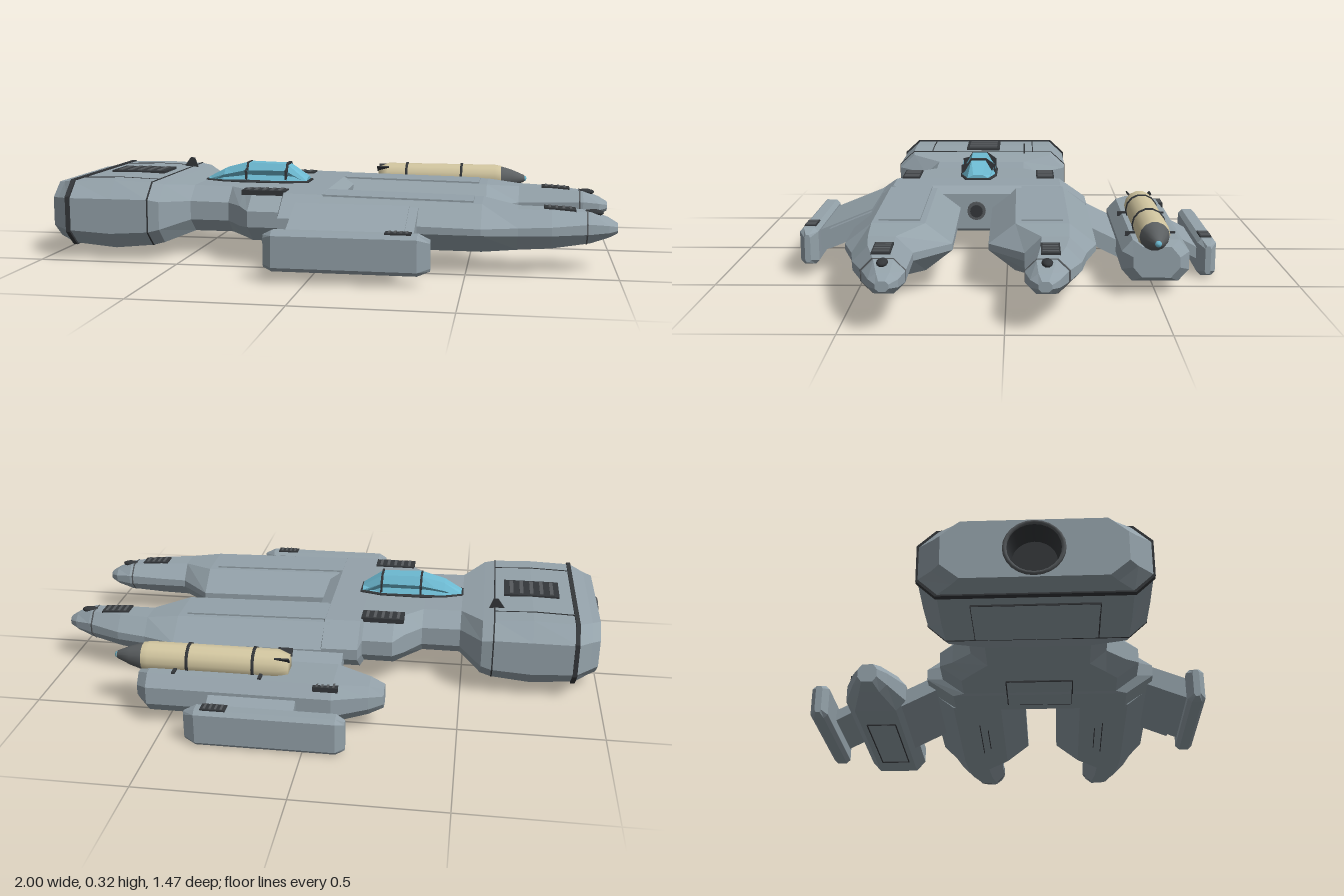
import * as THREE from 'three';

const MID = 0.12; // z of the hull's own symmetry plane

const paint = (name, color, extra = {}) => {
  const m = new THREE.MeshStandardMaterial({ color, ...extra });
  m.name = name;
  return m;
};

export function createModel() {
  const root = new THREE.Group();
  root.name = 'spacecraft';
  const hull = paint('hull grey', 0x94a2aa);
  const dark = paint('dark trim', 0x34373a, { side: THREE.DoubleSide });
  const slat = paint('vent slat', 0x565a5d);
  const glass = paint('canopy blue', 0x6dbad2);
  const tan = paint('missile tan', 0xd2c6a0);
  const steel = paint('missile nose grey', 0x5c6062);

  const add = (name, geo, mat, parent = root) => {
    const m = new THREE.Mesh(geo, mat);
    m.name = name;
    parent.add(m);
    return m;
  };
  const box = (name, x0, x1, y0, y1, z0, z1, mat, parent = root) => {
    const m = add(name, new THREE.BoxGeometry(x1 - x0, y1 - y0, z1 - z0), mat, parent);
    m.position.set((x0 + x1) / 2, (y0 + y1) / 2, (z0 + z1) / 2);
    return m;
  };

  // Chamfered section [x, z0, z1, y0, y1, cz, cy] as eight corners
  const ring = ([x, z0, z1, y0, y1, cz, cy]) => [
    [x, y1, z0 + cz], [x, y1, z1 - cz], [x, y1 - cy, z1], [x, y0 + cy, z1],
    [x, y0, z1 - cz], [x, y0, z0 + cz], [x, y0 + cy, z0], [x, y1 - cy, z0]];

  // Flat-faced loft through sections along +x
  const loft = (sections, capStart = true) => {
    const r = sections.map(ring), v = [];
    const tri = (a, b, c) => v.push(...a, ...b, ...c);
    for (let i = 0; i < r.length - 1; i++)
      for (let j = 0; j < 8; j++) {
        const k = (j + 1) % 8;
        tri(r[i][j], r[i][k], r[i + 1][k]);
        tri(r[i][j], r[i + 1][k], r[i + 1][j]);
      }
    const end = r[r.length - 1];
    for (let j = 1; j < 7; j++) {
      tri(end[0], end[j], end[j + 1]);
      if (capStart) tri(r[0][0], r[0][j + 1], r[0][j]);
    }
    const g = new THREE.BufferGeometry();
    g.setAttribute('position', new THREE.Float32BufferAttribute(v, 3));
    g.computeVertexNormals();
    return g;
  };
  const sym = (x, hw, y0, y1, cz, cy) => [x, MID - hw, MID + hw, y0, y1, cz, cy];

  // Main hull: engine block, neck and shoulders
  const rear = sym(-0.99, 0.285, 0.06, 0.26, 0.06, 0.05);
  add('mainHull', loft([
    rear,
    sym(-0.96, 0.31, 0.056, 0.264, 0.06, 0.05),
    sym(-0.91, 0.36, 0.05, 0.275, 0.06, 0.055),
    sym(-0.75, 0.36, 0.036, 0.28, 0.06, 0.06),
    sym(-0.61, 0.36, 0.05, 0.275, 0.06, 0.055),
    sym(-0.57, 0.355, 0.06, 0.268, 0.06, 0.055),
    sym(-0.49, 0.24, 0.085, 0.252, 0.06, 0.05),
    sym(-0.35, 0.24, 0.085, 0.25, 0.06, 0.05),
    sym(-0.29, 0.31, 0.08, 0.25, 0.07, 0.05),
    sym(-0.25, 0.36, 0.075, 0.25, 0.08, 0.06),
    sym(-0.14, 0.36, 0.075, 0.25, 0.08, 0.06),
    sym(-0.13, 0.42, 0.07, 0.25, 0.1, 0.07),
    sym(0, 0.42, 0.07, 0.248, 0.1, 0.07),
    sym(0.045, 0.3, 0.09, 0.225, 0.1, 0.05)], false), hull);

  // Rear wall with a round opening and the nozzle inside
  const wall = new THREE.Shape(ring(rear).map(p => new THREE.Vector2(p[2], p[1])));
  wall.holes.push(new THREE.Path().absarc(MID, 0.16, 0.088, 0, Math.PI * 2, true));
  add('rearWall', new THREE.ShapeGeometry(wall, 16).rotateY(-Math.PI / 2).translate(-0.99, 0, 0), hull);
  const along = (g, x, y, z) => g.rotateZ(-Math.PI / 2).translate(x, y, z);
  add('nozzleTube', along(new THREE.CylinderGeometry(0.06, 0.088, 0.13, 24, 1, true), -0.925, 0.16, MID), dark);
  add('nozzleBack', along(new THREE.CircleGeometry(0.062, 24).rotateX(Math.PI / 2), -0.862, 0.16, MID), slat).material = dark;
  add('nozzleRim', new THREE.TorusGeometry(0.09, 0.007, 6, 24).rotateY(Math.PI / 2).translate(-0.992, 0.16, MID), slat);

  // Dark seams round the engine block
  add('engineBand', loft([sym(-0.912, 0.365, 0.045, 0.28, 0.06, 0.055), sym(-0.896, 0.365, 0.043, 0.281, 0.06, 0.055)]), dark);
  add('engineSeam', loft([sym(-0.613, 0.3615, 0.049, 0.277, 0.06, 0.055), sym(-0.608, 0.3615, 0.049, 0.277, 0.06, 0.055)]), dark);
  for (const z of [MID - 0.22, MID + 0.22]) {
    box('engineSeam', -0.75, -0.61, 0.276, 0.279, z - 0.002, z + 0.002, dark).rotation.z = -0.036;
    box('engineSeam', -0.9, -0.75, 0.277, 0.28, z - 0.002, z + 0.002, dark).rotation.z = 0.03;
  }

  // Slatted vents
  const vent = (x0, x1, z0, z1, y, n, tilt = 0) => {
    const g = new THREE.Group(), w = x1 - x0, d = z1 - z0;
    g.name = 'vent';
    g.position.set((x0 + x1) / 2, y, (z0 + z1) / 2);
    g.rotation.z = tilt;
    box('ventBase', -w / 2, w / 2, -0.012, 0.005, -d / 2, d / 2, dark, g);
    for (let i = 0; i < n; i++) {
      const x = -w / 2 + w * (i + 0.75) / (n + 0.5);
      box('ventSlat', x - w / n / 6, x + w / n / 6, 0, 0.008, -d * 0.42, d * 0.42, slat, g);
    }
    root.add(g);
  };
  vent(-0.85, -0.645, 0.045, 0.19, 0.28, 5);
  vent(-0.285, -0.13, 0.35, 0.42, 0.25, 5);
  vent(-0.285, -0.13, -0.18, -0.11, 0.25, 5);

  // Antenna fin
  const fin = new THREE.Shape([[-0.65, 0.27], [-0.59, 0.27], [-0.605, 0.31], [-0.622, 0.31]].map(p => new THREE.Vector2(...p)));
  add('antennaFin', new THREE.ExtrudeGeometry(fin, { depth: 0.006, bevelEnabled: false }).translate(0, 0, -0.067), dark);

  // Canopy with frame ribs
  const dome = (x, hw, top, c) => sym(x, hw, 0.235, top, hw * 0.55, c);
  add('canopy', loft([dome(-0.485, 0.03, 0.262, 0.006), dome(-0.42, 0.055, 0.296, 0.04),
    dome(-0.33, 0.066, 0.32, 0.06), dome(-0.18, 0.064, 0.316, 0.06), dome(-0.105, 0.042, 0.268, 0.012)]), glass);
  for (const x of [-0.33, -0.18])
    add('canopyRib', loft([dome(x - 0.004, 0.068, 0.322, 0.06), dome(x + 0.004, 0.068, 0.321, 0.06)]), dark);
  const sill = (x, hw) => sym(x, hw, 0.24, 0.257, 0.004, 0.004);
  add('canopySill', loft([sill(-0.492, 0.034), sill(-0.42, 0.062), sill(-0.33, 0.074), sill(-0.18, 0.072), sill(-0.098, 0.048)]), dark);

  // Twin forward prongs, mirrored about the hull plane
  const prong = [
    [-0.02, 0.18, 0.54, 0.072, 0.242, 0.09, 0.07], [0.55, 0.18, 0.54, 0.07, 0.232, 0.09, 0.07],
    [0.67, 0.3, 0.5, 0.08, 0.217, 0.055, 0.055], [0.78, 0.3, 0.48, 0.085, 0.214, 0.05, 0.05],
    [0.91, 0.3, 0.43, 0.1, 0.204, 0.035, 0.035], [0.97, 0.315, 0.405, 0.118, 0.182, 0.025, 0.02],
    [1, 0.34, 0.38, 0.132, 0.165, 0.01, 0.01]];
  for (const left of [true, false]) {
    const flip = z => left ? z : 2 * MID - z;
    const span = (a, b) => left ? [a, b] : [flip(b), flip(a)];
    add('prong', loft(prong.map(([x, a, b, ...rest]) => [x, ...span(a, b), ...rest])), hull);
    box('prongSpine', 0, 0.52, 0.234, 0.243, ...span(0.29, 0.43), hull).rotation.z = -0.018;
    vent(0.755, 0.86, ...span(0.35, 0.41), 0.212, 4, -0.06);
    const sensor = add('prongSensor', new THREE.SphereGeometry(0.03, 12, 8), dark);
    sensor.scale.set(1.1, 0.4, 0.6);
    sensor.position.set(0.92, 0.2, flip(0.367));
    add('prongSeam', loft([[0.895, ...span(0.299, 0.439), 0.097, 0.207, 0.037, 0.037],
      [0.9, ...span(0.299, 0.437), 0.098, 0.206, 0.037, 0.037]]), slat);
    box('bellyLine', 0.15, 0.45, 0.068, 0.072, ...span(0.36, 0.363), dark);
    box('bellyLine', 0.2, 0.4, 0.068, 0.072, ...span(0.33, 0.333), dark);
  }

  // Gun between the prongs
  add('gunCollar', along(new THREE.CylinderGeometry(0.035, 0.035, 0.02, 16), 0.045, 0.16, MID), slat);
  add('gunBarrel', along(new THREE.CylinderGeometry(0.024, 0.024, 0.02, 16), 0.05, 0.16, MID), dark);

  // Belly hatch outlines
  const outline = (x0, x1, z0, z1, y) => {
    const t = 0.004;
    for (const x of [x0, x1]) box('hatchEdge', x - t / 2, x + t / 2, y - 0.003, y + 0.003, z0, z1, dark);
    for (const z of [z0, z1]) box('hatchEdge', x0, x1, y - 0.003, y + 0.003, z - t / 2, z + t / 2, dark);
  };
  outline(-0.24, -0.04, MID - 0.12, MID + 0.12, 0.073);
  box('engineHatch', -0.86, -0.64, 0.034, 0.04, MID - 0.2, MID + 0.2, hull);
  outline(-0.86, -0.64, MID - 0.2, MID + 0.2, 0.037);

  // Sloping struts: slab between two (z, y) ends, extruded along x
  const strut = (x0, x1, za, ya, zb, yb, h) => {
    const s = new THREE.Shape([[za, ya], [zb, yb], [zb, yb + h], [za, ya + h]].map(p => new THREE.Vector2(-p[0], p[1])));
    const g = new THREE.ExtrudeGeometry(s, { depth: x1 - x0, bevelEnabled: false });
    add('strut', g.rotateY(Math.PI / 2).translate(x0, 0, 0), hull);
  };
  strut(-0.08, 0.31, 0.48, 0.145, 0.67, 0.068, 0.08);
  strut(0.305, 0.34, 0.48, 0.15, 0.63, 0.088, 0.07);
  strut(-0.08, 0.34, -0.25, 0.13, -0.4, 0.055, 0.06);
  strut(0.04, 0.34, -0.58, 0.103, -0.68, 0.05, 0.042);

  // Slim outer pods
  for (const [z0, z1, y] of [[0.665, 0.73, 0.037], [-0.735, -0.67, 0]]) {
    const m = (z0 + z1) / 2;
    add('outerPod', loft([[-0.14, m - 0.012, m + 0.012, y + 0.012, y + 0.118, 0.005, 0.01],
      [-0.11, z0, z1, y, y + 0.132, 0.014, 0.014], [0.36, z0, z1, y, y + 0.132, 0.014, 0.014],
      [0.4, m - 0.01, m + 0.01, y + 0.015, y + 0.115, 0.005, 0.01]]), hull);
    vent(0.255, 0.34, m - 0.02, m + 0.02, y + 0.131, 4);
  }

  // Weapon pod on the right side
  add('weaponPod', loft([[-0.25, -0.54, -0.47, 0.08, 0.15, 0.015, 0.02], [-0.2, -0.565, -0.44, 0.06, 0.165, 0.025, 0.03],
    [-0.08, -0.61, -0.385, 0.038, 0.18, 0.035, 0.04], [0.56, -0.61, -0.385, 0.038, 0.18, 0.035, 0.04],
    [0.6, -0.575, -0.42, 0.06, 0.165, 0.03, 0.035]]), hull);
  vent(-0.1, -0.015, -0.595, -0.562, 0.172, 4);
  outline(0.05, 0.45, -0.55, -0.44, 0.037);

  // Missile carried on the weapon pod
  const my = 0.199, mz = -0.488;
  const spin = (name, pts, mat) => add(name, along(new THREE.LatheGeometry(pts.map(p => new THREE.Vector2(p[1], p[0])), 14), 0, my, mz), mat);
  spin('missileBody', [[0.08, 0], [0.08, 0.038], [0.12, 0.055], [0.57, 0.055], [0.595, 0.05]], tan);
  spin('missileNose', [[0.59, 0.05], [0.64, 0.035], [0.69, 0.014], [0.695, 0]], steel);
  spin('seekerLens', [[0.692, 0.011], [0.698, 0.009], [0.7, 0]], glass);
  for (const x of [0.2, 0.43])
    spin('missileBand', [[x - 0.005, 0.054], [x - 0.005, 0.059], [x + 0.005, 0.059], [x + 0.005, 0.054]], dark);
  for (const x of [0.17, 0.47])
    box('missileClamp', x - 0.006, x + 0.006, 0.17, 0.186, mz - 0.085, mz + 0.085, dark);
  for (let i = 0; i < 4; i++) {
    const f = add('missileFin', new THREE.BoxGeometry(0.05, 0.03, 0.005).translate(0.1, 0.047, 0), dark);
    f.position.set(0, my, mz);
    f.rotation.x = Math.PI / 4 + i * Math.PI / 2;
  }
  return root;
}
